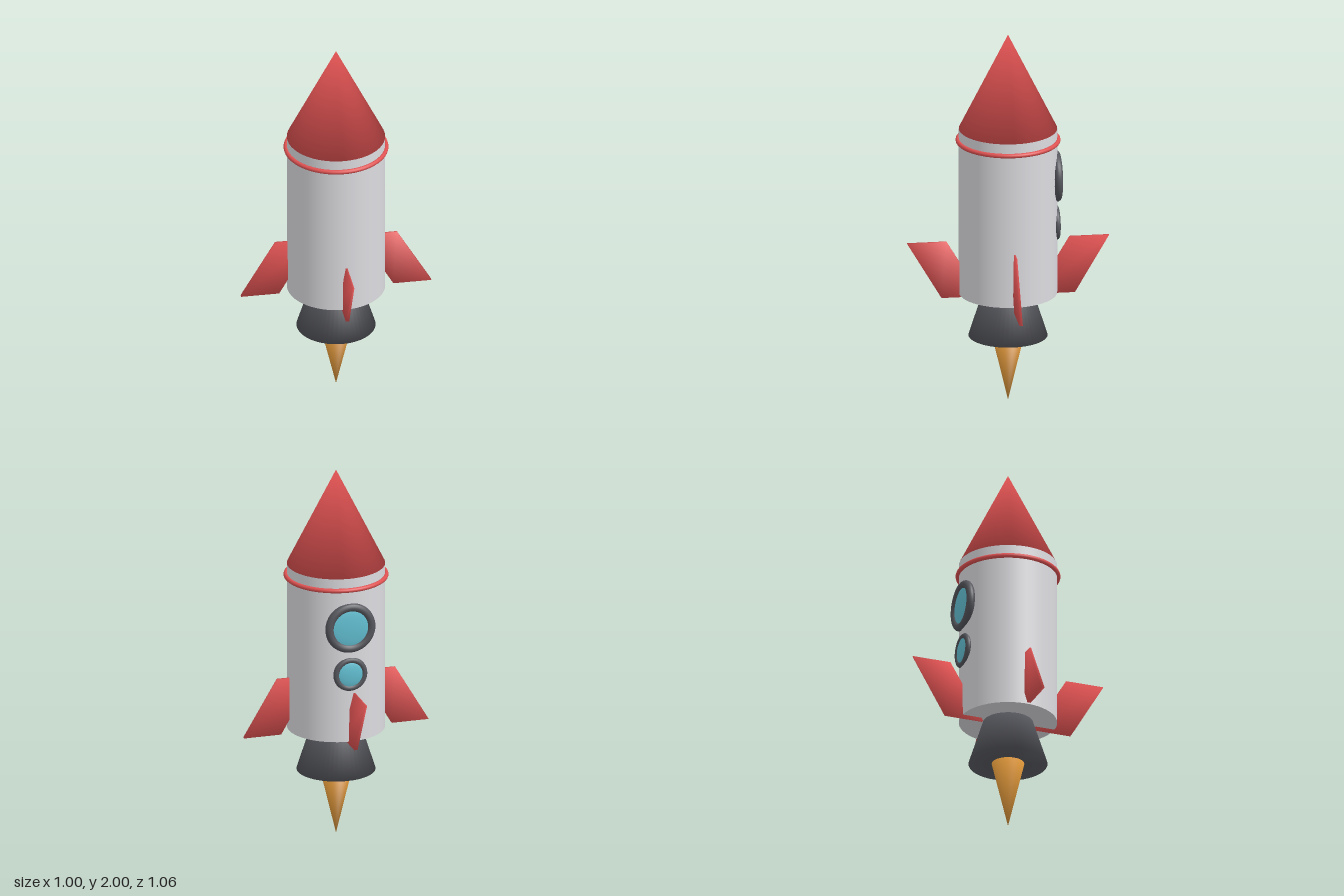
import * as THREE from 'three';
import { mergeVertices } from 'three/addons/utils/BufferGeometryUtils.js';

function paint(name, color) {
  const m = new THREE.MeshStandardMaterial({ color });
  m.name = name;
  return m;
}

// Weld all corners and average the normals by corner angle, for a soft look
function soften(source) {
  source.deleteAttribute('uv');
  source.deleteAttribute('normal');
  const geo = mergeVertices(source, 1e-5);
  const pos = geo.attributes.position;
  const index = geo.index.array;
  const normals = Array.from({ length: pos.count }, () => new THREE.Vector3());
  for (let i = 0; i < index.length; i += 3) {
    const ids = [index[i], index[i + 1], index[i + 2]];
    const p = ids.map((id) => new THREE.Vector3().fromBufferAttribute(pos, id));
    const face = p[1].clone().sub(p[0]).cross(p[2].clone().sub(p[0])).normalize();
    for (let k = 0; k < 3; k++) {
      const a = p[(k + 1) % 3].clone().sub(p[k]);
      const b = p[(k + 2) % 3].clone().sub(p[k]);
      normals[ids[k]].addScaledVector(face, a.angleTo(b));
    }
  }
  const flat = normals.flatMap((n) => n.normalize().toArray());
  geo.setAttribute('normal', new THREE.Float32BufferAttribute(flat, 3));
  return geo;
}

// Slanted blade pointing along +x, thinner towards the top
function finGeometry(bottomX, topX, width) {
  const low = 0.575, high = 0.88;
  const geo = new THREE.BoxGeometry(width, 1, 1);
  const pos = geo.attributes.position;
  for (let i = 0; i < pos.count; i++) {
    const t = pos.getY(i) + 0.5;
    pos.setXYZ(
      i,
      pos.getX(i) + THREE.MathUtils.lerp(bottomX, topX, t),
      THREE.MathUtils.lerp(low, high, t),
      pos.getZ(i) * THREE.MathUtils.lerp(0.018, 0.009, t)
    );
  }
  return soften(geo);
}

export function createModel() {
  const red = paint('red', 0xe05252);
  const white = paint('hullWhite', 0xdcdce0);
  const dark = paint('darkGrey', 0x55565c);
  const orange = paint('flameOrange', 0xe39a3b);
  const blue = paint('glassBlue', 0x62bfd2);

  const rocket = new THREE.Group();
  rocket.name = 'rocket';
  const add = (name, geo, material, parent = rocket) => {
    const mesh = new THREE.Mesh(geo, material);
    mesh.name = name;
    parent.add(mesh);
    return mesh;
  };

  // Hull, nose and trim ring
  add('hull', new THREE.CylinderGeometry(0.255, 0.255, 0.897, 48), white).position.y = 1.0385;
  add('noseCone', soften(new THREE.ConeGeometry(0.255, 0.513, 48)), red).position.y = 1.7435;
  const trim = add('trimRing', new THREE.TorusGeometry(0.26, 0.012, 12, 64), red);
  trim.rotation.x = Math.PI / 2;
  trim.position.y = 1.425;

  // Engine nozzle and flame
  add('nozzle', soften(new THREE.CylinderGeometry(0.125, 0.205, 0.25, 48)), dark).position.y = 0.48;
  const flame = add('flame', soften(new THREE.ConeGeometry(0.1, 0.42, 48)), orange);
  flame.rotation.x = Math.PI;
  flame.position.y = 0.21;

  // Side fins sweep down, front and back fins sweep up
  const sideFin = finGeometry(0.4, 0.22, 0.2);
  const endFin = finGeometry(0.245, 0.425, 0.207);
  add('leftFin', sideFin, red);
  add('rightFin', sideFin, red).rotation.y = Math.PI;
  add('frontFin', endFin, red).rotation.y = -Math.PI / 2;
  add('backFin', endFin, red).rotation.y = Math.PI / 2;

  // Two portholes on the back
  const portholes = [
    { name: 'upperPorthole', y: 1.215, z: -0.251, radius: 0.113, tube: 0.022 },
    { name: 'lowerPorthole', y: 0.96, z: -0.25, radius: 0.076, tube: 0.0155 },
  ];
  for (const p of portholes) {
    const porthole = new THREE.Group();
    porthole.name = p.name;
    porthole.position.set(0, p.y, p.z);
    rocket.add(porthole);
    add('frame', new THREE.TorusGeometry(p.radius, p.tube, 16, 48), dark, porthole);
    const glass = add('glass', new THREE.SphereGeometry(p.radius, 32, 20), blue, porthole);
    glass.scale.z = 0.018 / p.radius;
  }

  return rocket;
}
